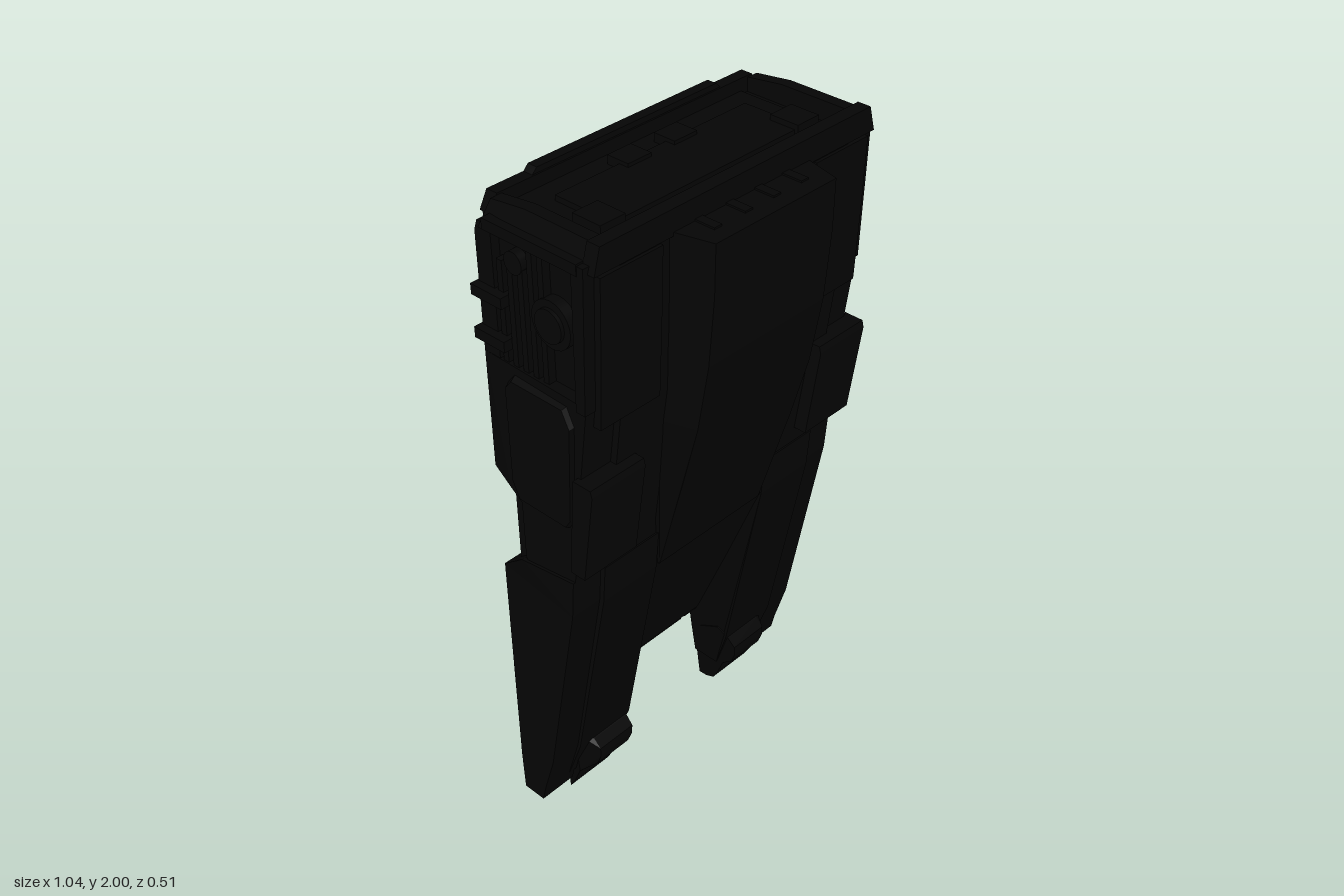
import * as THREE from 'three';

export function createModel() {
  const root = new THREE.Group();
  const black = new THREE.MeshStandardMaterial({ color: 0x050505 });
  black.name = 'black';
  const add = (name, geo) => {
    const m = new THREE.Mesh(geo, black);
    m.name = name;
    root.add(m);
    return m;
  };

  // Extrudes a [z, y] outline across x0..x1; the optional rule moves vertices
  function slab(name, outline, x0, x1, rule) {
    const shape = new THREE.Shape(outline.map(([z, y]) => new THREE.Vector2(z, y)));
    const geo = new THREE.ExtrudeGeometry(shape, { depth: x1 - x0, bevelEnabled: false });
    geo.rotateY(-Math.PI / 2).translate(x1, 0, 0);
    if (rule) {
      const p = geo.attributes.position, v = new THREE.Vector3();
      for (let i = 0; i < p.count; i++) {
        rule(v.fromBufferAttribute(p, i));
        p.setXYZ(i, v.x, v.y, v.z);
      }
      geo.computeVertexNormals();
    }
    return add(name, geo);
  }
  // Same slab on both sides
  function pair(name, outline, x0, x1, rule) {
    slab('left' + name, outline, x0, x1, rule);
    slab('right' + name, outline, -x1, -x0, rule && (v => { v.x = -v.x; rule(v); v.x = -v.x; }));
  }
  const rect = (z0, z1, y0, y1) => [[z0, y0], [z1, y0], [z1, y1], [z0, y1]];

  // Upper hull, ending in a shallow well
  slab('upperHull', [[-0.25, 1.02], [-0.25, 1.95], [0.14, 1.95], [0.135, 1.7],
    [0.125, 1.5], [0.105, 1.35], [0.06, 1.05], [0.045, 0.88], [-0.07, 0.88], [-0.12, 1.02]], -0.4, 0.4);
  // Rim around the end well
  slab('topRimBack', rect(-0.25, -0.215, 1.94, 1.985), -0.465, 0.465,
    v => { if (v.y > 1.95) v.x = Math.sign(v.x) * 0.44; });
  slab('topRimCrest', rect(-0.25, -0.22, 1.98, 2), -0.33, 0.33, v => { if (v.y > 1.99) v.x = Math.sign(v.x) * 0.31; });
  slab('topRimFront', rect(0.11, 0.15, 1.93, 2), -0.49, 0.49, v => { if (v.y > 1.99) v.x = Math.sign(v.x) * 0.47; });
  pair('TopRimSide', [[-0.22, 1.92], [0.12, 1.92], [0.12, 1.995], [-0.1, 1.995], [-0.215, 1.98]], 0.425, 0.5,
    v => { if (v.y > 1.95 && v.x > 0.45) v.x = 0.46; });
  slab('endPanel', rect(-0.14, 0.05, 1.94, 1.965), -0.33, 0.33);
  pair('EndHatch', rect(-0.18, -0.11, 1.94, 1.975), 0.04, 0.12);
  pair('EndBlock', rect(-0.03, 0.06, 1.94, 1.98), 0.3, 0.38);

  // Raised tapering spine on the front
  const front = [[0.255, 1.94], [0.252, 1.8], [0.235, 1.6], [0.2, 1.4], [0.145, 1.2], [0.1, 1.05], [0.05, 0.88]];
  const base = [[0.0, 0.88], [0.04, 1.05], [0.07, 1.2], [0.1, 1.4], [0.115, 1.6], [0.12, 1.8], [0.125, 1.94]];
  slab('spine', [...front, ...base], -0.245, 0.245, v => {
    const isFront = front.some(([z, y]) => Math.abs(z - v.z) < 1e-4 && Math.abs(y - v.y) < 1e-4);
    const narrow = 0.02 * (1 - THREE.MathUtils.smoothstep(v.y, 0.5, 1.4));
    v.x = Math.sign(v.x) * ((isFront ? 0.212 : 0.245) - narrow);
  });
  for (const x of [-0.155, -0.05, 0.05, 0.15]) slab('spineVent', rect(0.14, 0.21, 1.93, 1.945), x - 0.013, x + 0.013);

  // Floor between the legs, sloping to the back; ledge and ribs above it
  slab('lowerFloor', [[-0.2, 0.3], [-0.08, 0.58], [0.045, 0.88], [0.045, 0.95], [-0.11, 1.02], [-0.13, 0.85], [-0.185, 0.6],
    [-0.235, 0.36], [-0.24, 0.3]], -0.28, 0.28, v => { if (v.y < 0.4) v.x = Math.sign(v.x) * 0.22; });
  slab('backLedge', [[-0.1, 0.9], [-0.1, 1.03], [-0.25, 1.03], [-0.25, 1.0], [-0.2, 0.96]], -0.28, 0.28);
  for (let i = -2; i <= 2; i++)
    slab('backRib', [[-0.12, 0.84], [-0.1, 1.0], [-0.245, 1.01], [-0.24, 0.95], [-0.17, 0.87]], i * 0.092 - 0.014, i * 0.092 + 0.014);
  slab('floorLip', rect(-0.25, -0.205, 0.29, 0.31), -0.15, 0.15);
  pair('FloorLipEnd', rect(-0.25, -0.205, 0.29, 0.31), 0.165, 0.225);

  // Legs: inner beams flared at the back top, outer blocks and feet
  pair('LegBeam', [[0.05, 0.88], [0.06, 1.0], [-0.25, 1.03], [-0.25, 0.86], [-0.25, 0.74], [-0.25, 0.36], [-0.235, 0.33],
    [-0.235, 0.19], [-0.22, 0.1], [-0.13, 0.1], [-0.075, 0.25]], 0.212, 0.41, v => {
    if (v.x > 0.3) return;
    if (v.y < 0.2) v.x = 0.23;
    else if (v.z < 0 && v.y > 0.8) v.x = 0.265;
  });
  pair('LegOuter', [[0.035, 0.88], [0.045, 1.0], [-0.15, 0.97], [-0.2, 0.93], [-0.245, 0.89], [-0.245, 0.36], [-0.235, 0.33],
    [-0.235, 0.19], [-0.22, 0.19], [-0.215, 0.06], [-0.14, 0.06], [-0.125, 0.12], [-0.085, 0.25]], 0.39, 0.508,
    v => { if (v.x > 0.45 && v.z < -0.23) v.x = 0.488; });
  pair('Foot', [[-0.075, 0.24], [-0.05, 0.215], [-0.05, 0.185], [-0.065, 0.145], [-0.105, 0.11], [-0.13, 0.05], [-0.15, 0.015],
    [-0.18, 0.002], [-0.21, 0], [-0.215, 0.1], [-0.23, 0.2], [-0.12, 0.26]], 0.225, 0.39, v => {
    if (v.x < 0.3) v.x = 0.24 - 0.018 * Math.min(1, v.y / 0.25);
    else if (v.y < 0.01) v.x = 0.365;
    else if (v.z > -0.08) v.x = 0.355;
  });
  pair('BackStrip', [[-0.24, 0.6], [-0.24, 0.9], [-0.254, 0.88], [-0.254, 0.62]], 0.31, 0.38);

  // Side armour: lower panel with a back notch, and a framed bay above
  pair('SidePanel', [[0.115, 1.57], [0.085, 1.35], [0.05, 1.05], [0.04, 0.95], [-0.12, 0.95], [-0.14, 0.98], [-0.14, 1.16],
    [-0.18, 1.19], [-0.245, 1.22], [-0.245, 1.57]], 0.39, 0.5, v => { if (v.x > 0.45 && v.z < -0.22) v.x = 0.49; });
  pair('SideBay', rect(-0.24, 0.12, 1.55, 1.94), 0.39, 0.465);
  pair('BayBackPost', [[-0.245, 1.55], [-0.19, 1.55], [-0.19, 1.93], [-0.235, 1.93], [-0.245, 1.9]], 0.44, 0.49);
  pair('BayFrontPost', [[0.085, 1.55], [0.115, 1.55], [0.13, 1.95], [0.09, 1.95]], 0.44, 0.504);
  pair('BayTop', rect(-0.2, 0.11, 1.925, 1.955), 0.44, 0.506);
  pair('SideHatch', [[0.075, 1.5], [0.06, 1.2], [0.04, 1.17], [-0.14, 1.17], [-0.165, 1.22], [-0.165, 1.52], [-0.14, 1.55], [0.05, 1.55]],
    0.485, 0.512, v => { if (v.x > 0.5) { v.y = 1.36 + (v.y - 1.36) * 0.94; v.z = -0.045 + (v.z + 0.045) * 0.92; } });
  pair('SideStrut', rect(-0.185, -0.155, 0.92, 1.18), 0.39, 0.48);
  for (const z of [-0.03, -0.065, -0.1, -0.135, -0.17])
    pair('SideRib', rect(z - 0.009, z + 0.009, 1.57, z < -0.08 ? 1.85 : 1.92), 0.455, 0.488);
  for (const y of [1.63, 1.75])
    pair('SideStud', rect(-0.25, -0.145, y - 0.015, y + 0.015), 0.45, 0.513);
  for (const s of [-1, 1]) {
    for (const [r, y, z, x] of [[0.065, 1.75, 0.005, 0.48], [0.045, 1.75, 0.005, 0.49], [0.03, 1.86, -0.12, 0.475]]) {
      const disc = add('sideDisc', new THREE.CylinderGeometry(r, r, 0.03, 24));
      disc.rotation.z = Math.PI / 2;
      disc.position.set(s * x, y, z);
    }
  }

  // Front shoulder plates and long front panels beside the spine
  pair('ShoulderPlate', [[0.1, 1.05], [0.14, 1.33], [0.135, 1.35], [0.075, 1.35], [0.05, 1.05]], 0.335, 0.518);
  pair('FrontPanel', [[0.148, 1.92], [0.14, 1.7], [0.13, 1.5], [0.1, 1.5], [0.1, 1.92]], 0.27, 0.47);
  // Plain back plates either side of a fine seam
  slab('backPlate', rect(-0.254, -0.24, 1.03, 1.95), -0.235, 0.235);
  pair('BackSidePlate', rect(-0.254, -0.24, 1.23, 1.8), 0.25, 0.45);
  return root;
}
